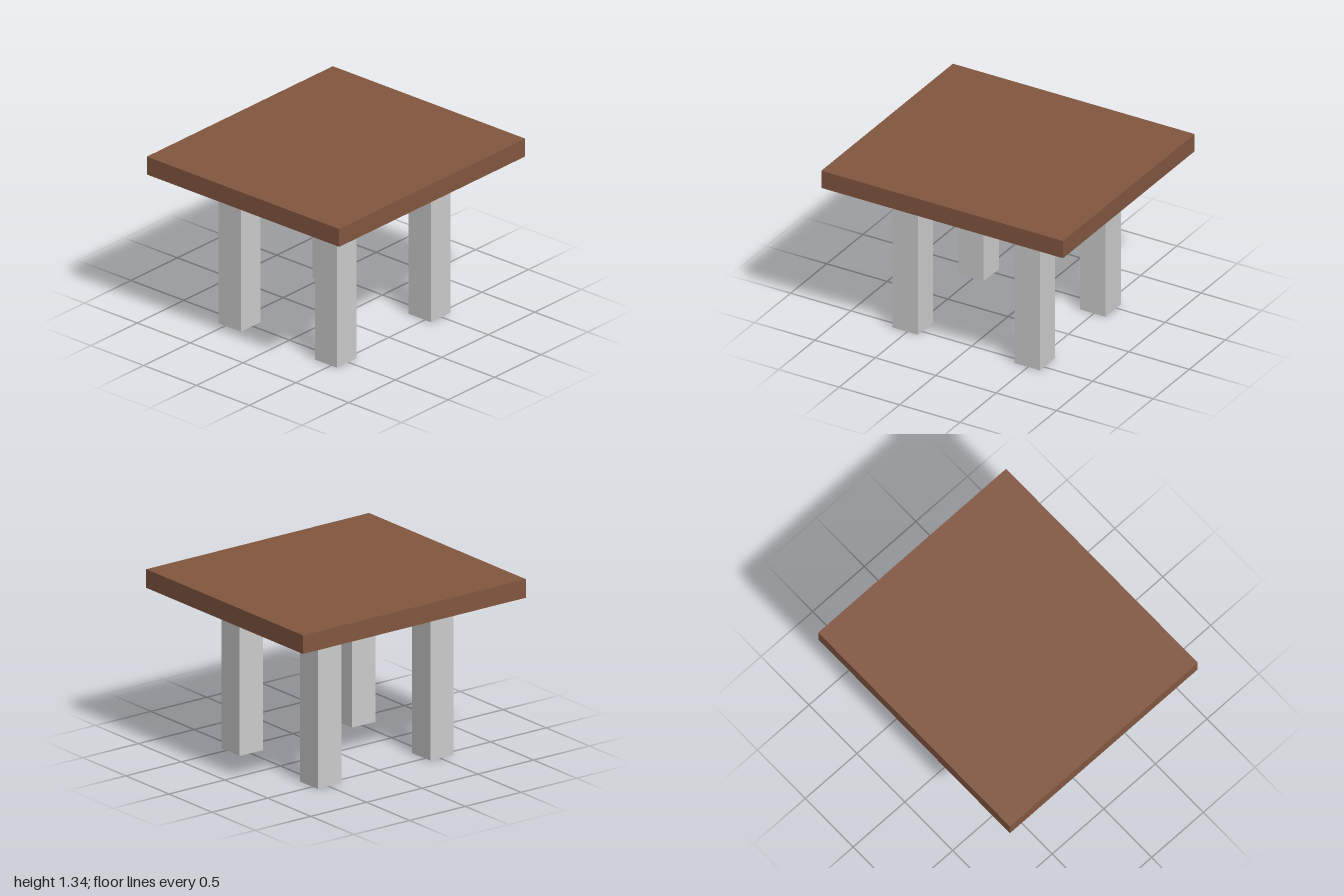
import * as THREE from 'three';

export function createModel() {
  const table = new THREE.Group();
  table.name = 'table';

  const wood = new THREE.MeshStandardMaterial({ color: 0x825740 });
  wood.name = 'brown wood';
  const grey = new THREE.MeshStandardMaterial({ color: 0xcccccc });
  grey.name = 'light grey';

  const legHeight = 1.195, legWidth = 0.21, topThickness = 0.14;

  // Slab top
  const top = new THREE.Mesh(new THREE.BoxGeometry(2, topThickness, 1.82), wood);
  top.name = 'tableTop';
  top.position.y = legHeight + topThickness / 2;
  table.add(top);

  // Four square legs, set slightly off centre
  const legGeometry = new THREE.BoxGeometry(legWidth, legHeight, legWidth);
  for (const [zName, z] of [['front', 0.452], ['back', -0.457]]) {
    for (const [xName, x] of [['Left', 0.492], ['Right', -0.517]]) {
      const leg = new THREE.Mesh(legGeometry, grey);
      leg.name = `${zName}${xName}Leg`;
      leg.position.set(x, legHeight / 2, z);
      table.add(leg);
    }
  }

  return table;
}
